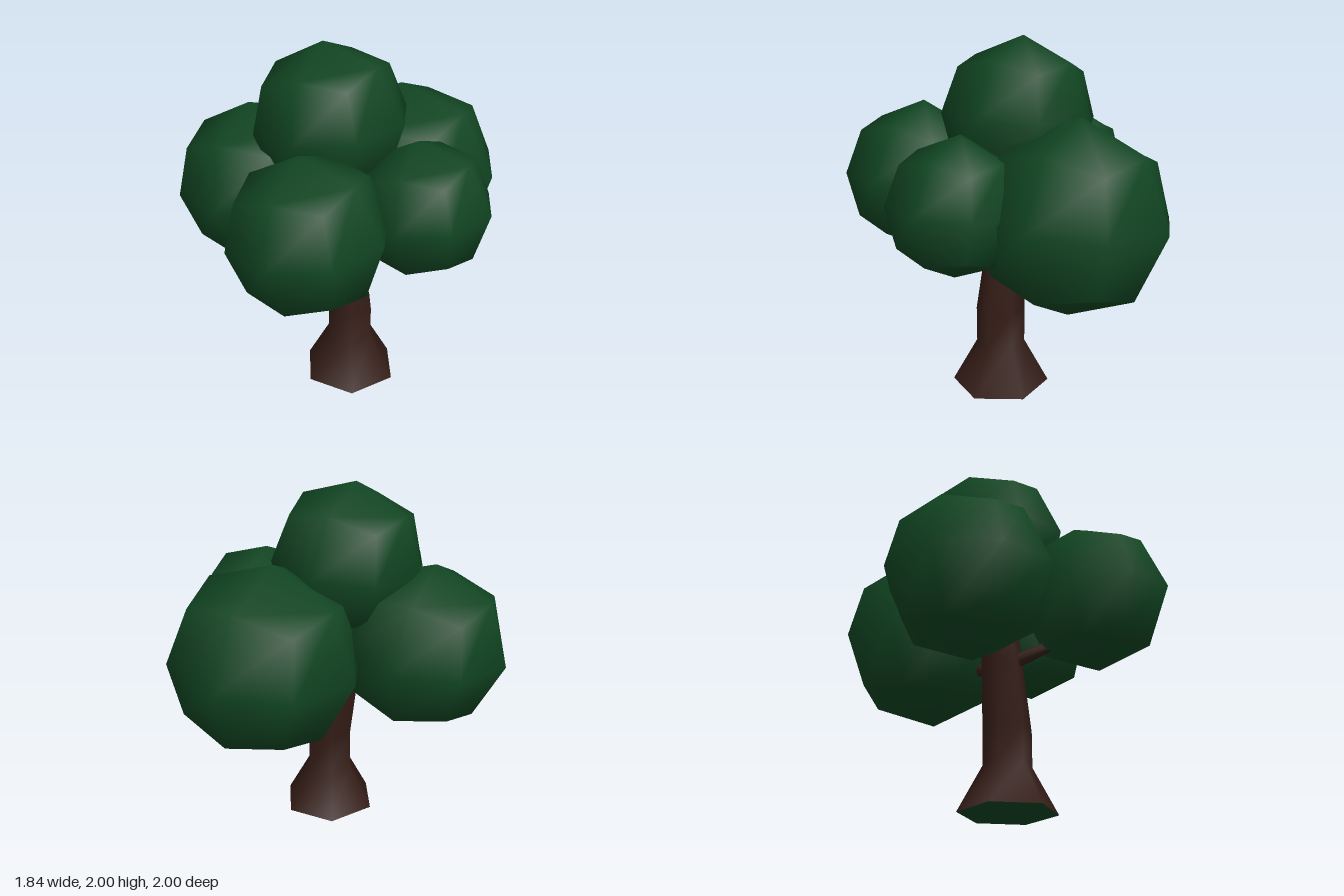
import * as THREE from 'three';
import { mergeVertices } from 'three/addons/utils/BufferGeometryUtils.js';

const leafMaterial = new THREE.MeshStandardMaterial({ color: 0x114522 });
const barkMaterial = new THREE.MeshStandardMaterial({ color: 0x351d17 });

// Weld the corners so the shading runs smoothly over the coarse shape.
function smooth(geometry) {
  geometry.deleteAttribute('uv');
  geometry.deleteAttribute('normal');
  const welded = mergeVertices(geometry, 1e-4);
  welded.computeVertexNormals();
  return welded;
}

function addMesh(parent, name, geometry, material) {
  const mesh = new THREE.Mesh(geometry, material);
  mesh.name = name;
  parent.add(mesh);
  return mesh;
}

// Low-poly ball: a cube with split faces, pushed out to a sphere.
function ballGeometry() {
  const geometry = new THREE.BoxGeometry(1, 1, 1, 2, 2, 2);
  const position = geometry.attributes.position;
  const v = new THREE.Vector3();
  for (let i = 0; i < position.count; i++) {
    v.fromBufferAttribute(position, i).normalize();
    position.setXYZ(i, v.x, v.y, v.z);
  }
  return smooth(geometry);
}

// Six-sided trunk; each ring is [x, y, z, radius, sideways slope], top first.
function trunkGeometry(rings) {
  const geometry = new THREE.CylinderGeometry(1, 1, 1, 6, rings.length - 1, true, Math.PI / 2);
  const position = geometry.attributes.position;
  for (let i = 0; i < position.count; i++) {
    const [x, y, z, r, slope] = rings[Math.floor(i / 7)];
    const px = position.getX(i) * r;
    position.setXYZ(i, x + px, y + px * slope, z + position.getZ(i) * r);
  }
  return smooth(geometry);
}

// Tapered branch running between two points.
function addBranch(parent, name, from, to) {
  const a = new THREE.Vector3(...from);
  const b = new THREE.Vector3(...to);
  const dir = b.clone().sub(a);
  const geometry = smooth(new THREE.CylinderGeometry(0.03, 0.045, dir.length(), 6));
  const mesh = addMesh(parent, name, geometry, barkMaterial);
  mesh.position.copy(a).add(b).multiplyScalar(0.5);
  mesh.quaternion.setFromUnitVectors(new THREE.Vector3(0, 1, 0), dir.normalize());
}

export function createModel() {
  const tree = new THREE.Group();
  tree.name = 'tree';

  // Trunk with a flared foot, leaning to one side above the middle
  addMesh(tree, 'trunk', trunkGeometry([
    [-0.02, 1.25, 0.04, 0.1, 0],
    [0.055, 0.82, 0.05, 0.118, -0.1],
    [0.122, 0.465, 0.05, 0.1375, -0.1],
    [0.122, 0.255, 0.05, 0.1375, 0],
    [0.125, 0, 0.05, 0.277, 0],
  ]), barkMaterial);

  // Underside of the foot
  const base = addMesh(tree, 'trunkBase', new THREE.CircleGeometry(0.277, 6).rotateX(Math.PI / 2), leafMaterial);
  base.position.set(0.125, 0, 0.05);

  // Branches reaching into the foliage
  addBranch(tree, 'frontBranch', [0.06, 0.82, 0.07], [0.12, 0.96, 0.42]);
  addBranch(tree, 'backBranch', [0.08, 0.8, 0.02], [0.2, 0.95, -0.4]);
  addBranch(tree, 'leftBranch', [0.05, 0.9, 0.04], [0.42, 1.08, 0.04]);
  addBranch(tree, 'rightBranch', [0.03, 0.93, 0.05], [-0.35, 1.1, 0.06]);

  // Foliage balls, all tilted the same way
  const ball = ballGeometry();
  const clumps = [
    ['topFoliage', -0.02, 1.57, 0.012, 0.431],
    ['rightFoliage', -0.46, 1.13, 0.06, 0.465],
    ['leftFoliage', 0.545, 1.19, 0.035, 0.377],
    ['frontFoliage', 0.147, 1.19, 0.57, 0.427],
    ['backFoliage', 0.225, 1.127, -0.475, 0.525],
  ];
  for (const [name, x, y, z, r] of clumps) {
    const clump = addMesh(tree, name, ball, leafMaterial);
    clump.position.set(x, y, z);
    clump.scale.setScalar(r);
    clump.rotation.z = 0.11;
  }
  return tree;
}
